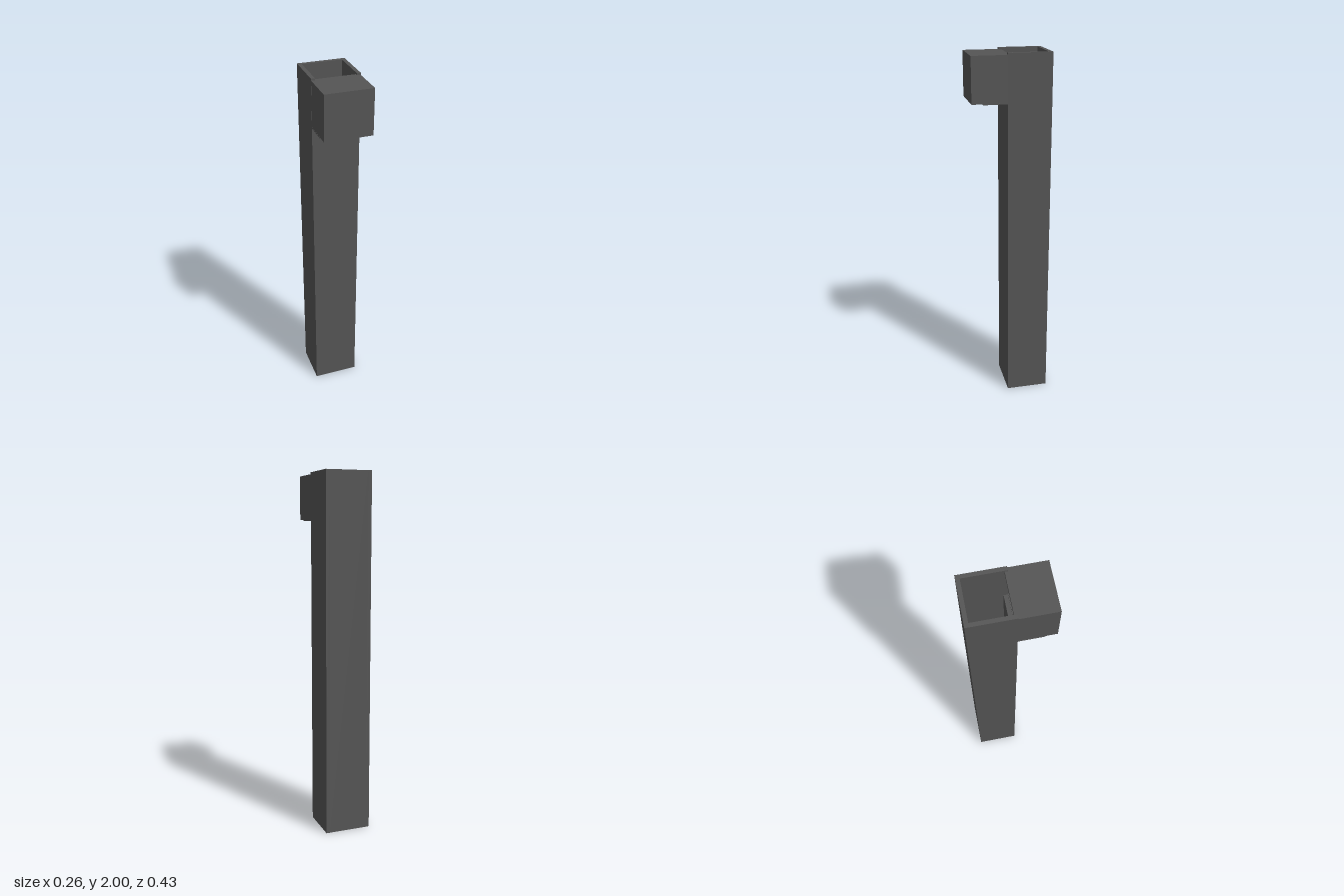
import * as THREE from 'three';

export function createModel() {
  const model = new THREE.Group();
  const darkMetal = new THREE.MeshStandardMaterial({ color: 0x555555 });
  const paleBase = new THREE.MeshStandardMaterial({ color: 0xc2c5ca });

  // Box given by its extents along each axis
  const slab = (name, [x0, x1], [y0, y1], [z0, z1], material = darkMetal, parent = model) => {
    const mesh = new THREE.Mesh(new THREE.BoxGeometry(x1 - x0, y1 - y0, z1 - z0), material);
    mesh.position.set((x0 + x1) / 2, (y0 + y1) / 2, (z0 + z1) / 2);
    mesh.name = name;
    parent.add(mesh);
  };

  const outer = 0.13, inner = 0.109;      // half widths of the duct
  const back = -0.215, front = 0.023;     // depth of the upright
  const wall = 0.021, nose = 0.215;
  const sill = 1.76;                      // lower edge of the outlet opening

  // Upright hollow duct, open at the top, with an outlet in the front wall
  const upright = new THREE.Group();
  upright.name = 'uprightDuct';
  model.add(upright);
  for (const [side, a, b] of [['left', inner, outer], ['right', -outer, -inner]]) {
    slab(side + 'Wall', [a, b], [0, 2], [back, front], darkMetal, upright);
  }
  slab('backWall', [-inner, inner], [0, 2], [back, back + wall], darkMetal, upright);
  slab('frontWall', [-inner, inner], [0, sill], [front - wall, front], darkMetal, upright);

  // Pale plate closing the foot of the duct
  slab('basePlate', [-inner, inner], [0.003, 0.012], [back + wall, front - wall], paleBase);

  // Hollow head reaching forward from the outlet
  const head = new THREE.Group();
  head.name = 'outletHead';
  model.add(head);
  const w = 0.129, top = 1.99, bottom = 1.745;
  slab('roof', [-w, w], [top - wall, top], [front, nose], darkMetal, head);
  slab('roofLip', [-inner, inner], [top - wall, top], [0.008, front], darkMetal, head);
  slab('floor', [-w, w], [bottom, bottom + wall], [front, nose], darkMetal, head);
  slab('nosePlate', [-w, w], [bottom + wall, top - wall], [nose - wall, nose], darkMetal, head);
  for (const [side, a, b] of [['left', inner, w], ['right', -w, -inner]]) {
    slab(side + 'Cheek', [a, b], [bottom + wall, top - wall], [front, nose - wall], darkMetal, head);
  }

  // Thin bracket under the head
  slab('underPlate', [-outer, outer], [1.74, bottom], [front, 0.155], darkMetal, head);

  return model;
}
